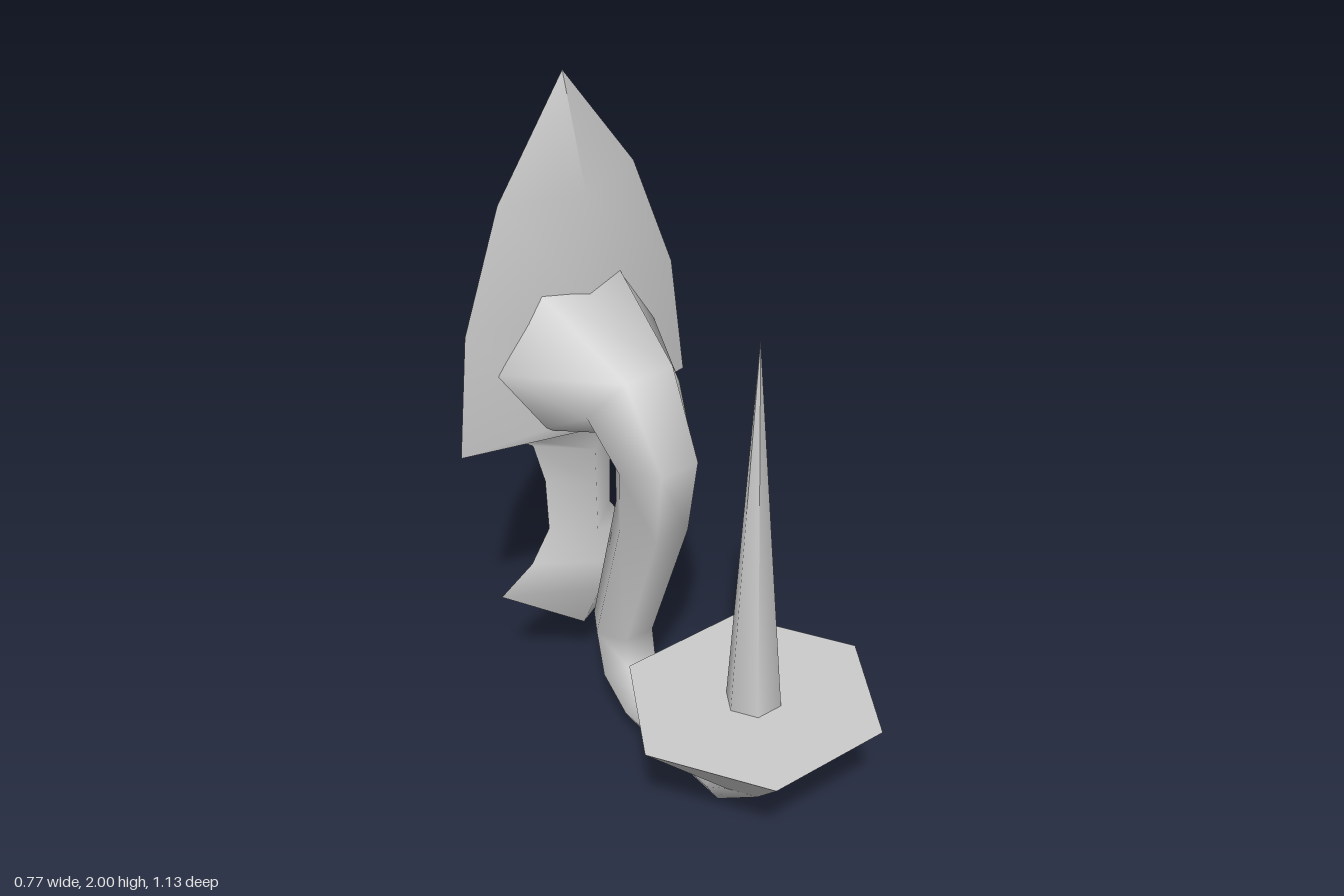
import * as THREE from 'three';

const material = new THREE.MeshStandardMaterial({ color: 0xcccccc });
const doubleSided = new THREE.MeshStandardMaterial({ color: 0xcccccc, side: THREE.DoubleSide });

// Smooth skin over rows of points; closed joins each row into a ring
function skin(rows, closed) {
  const n = rows[0].length;
  const index = [];
  for (let j = 0; j < rows.length - 1; j++) {
    for (let i = 0; i < (closed ? n : n - 1); i++) {
      const a = j * n + i, b = j * n + (i + 1) % n;
      index.push(a, b, a + n, b, b + n, a + n);
    }
  }
  const geometry = new THREE.BufferGeometry();
  geometry.setAttribute('position', new THREE.Float32BufferAttribute(rows.flat(2), 3));
  geometry.setIndex(index);
  geometry.computeVertexNormals();
  return geometry;
}

function addMesh(group, name, geometry, mat = material) {
  const mesh = new THREE.Mesh(geometry, mat);
  mesh.name = name;
  group.add(mesh);
  return mesh;
}

export function createModel() {
  const group = new THREE.Group();
  group.name = 'wallCandleHolder';

  // Wall plate: folded leaf-shaped sheet, [half width, edge y, ridge y, ridge z]
  const back = -0.565, ridge = -0.475;
  const plateRows = [
    [0, 2, 2, back],
    [0.22, 1.68, 1.68, ridge],
    [0.345, 1.33, 1.33, ridge],
    [0.385, 0.96, 1.0, ridge],
    [0.24, 0.97, 0.95, ridge],
    [0.15, 0.905, 0.88, ridge],
    [0.115, 0.77, 0.76, ridge],
    [0.11, 0.6, 0.6, ridge],
    [0.175, 0.5, 0.48, ridge],
    [0.285, 0.43, 0.38, ridge],
    [0, 0.2, 0.2, back],
  ].map(([x, y, ry, rz]) => [[x, y, back], [0, ry, rz], [-x, y, back]]);
  addMesh(group, 'wallPlate', skin(plateRows, false), doubleSided);

  // Arm: six-sided tube, [outer z, outer y, inner z, inner y, half width]
  const armRings = [
    [-0.56, 1.424, -0.56, 0.956, 0.27],
    [-0.21, 1.255, -0.355, 1.03, 0.155],
    [-0.08, 1.02, -0.29, 0.98, 0.123],
    [-0.117, 0.78, -0.302, 0.82, 0.11],
    [-0.44, 0.34, -0.28, 0.33, 0.095],
    [-0.403, 0.15, -0.265, 0.23, 0.092],
    [-0.26, 0.037, -0.2, 0.185, 0.092],
    [0.13, 0.0, 0.1, 0.105, 0.06],
    [0.325, 0.16, 0.165, 0.16, 0.092],
  ].map(([z1, y1, z2, y2, r], j) => {
    // The upper rings list the front side first, the lower ones the underside
    const flip = j >= 4 ? -1 : 1;
    return Array.from({ length: 6 }, (_, i) => {
      const t = i * Math.PI / 3;
      const s = flip * Math.sin(t) / Math.sin(Math.PI / 3) / 2;
      return [r * Math.cos(t), (y1 + y2) / 2 + s * (y1 - y2), (z1 + z2) / 2 + s * (z1 - z2)];
    });
  });
  addMesh(group, 'arm', skin(armRings, true), doubleSided);

  // Drip bowl and candle spike, six-sided with corners on the x axis
  const candleZ = 0.245;
  const bowl = addMesh(group, 'bowl',
    new THREE.CylinderGeometry(0.37, 0.092, 0.28, 6).rotateY(Math.PI / 6));
  bowl.position.set(0, 0.3, candleZ);
  const spike = addMesh(group, 'spike',
    new THREE.ConeGeometry(0.08, 1.14, 6, 1, true).rotateY(Math.PI / 6));
  spike.position.set(0, 1.01, candleZ);

  return group;
}
